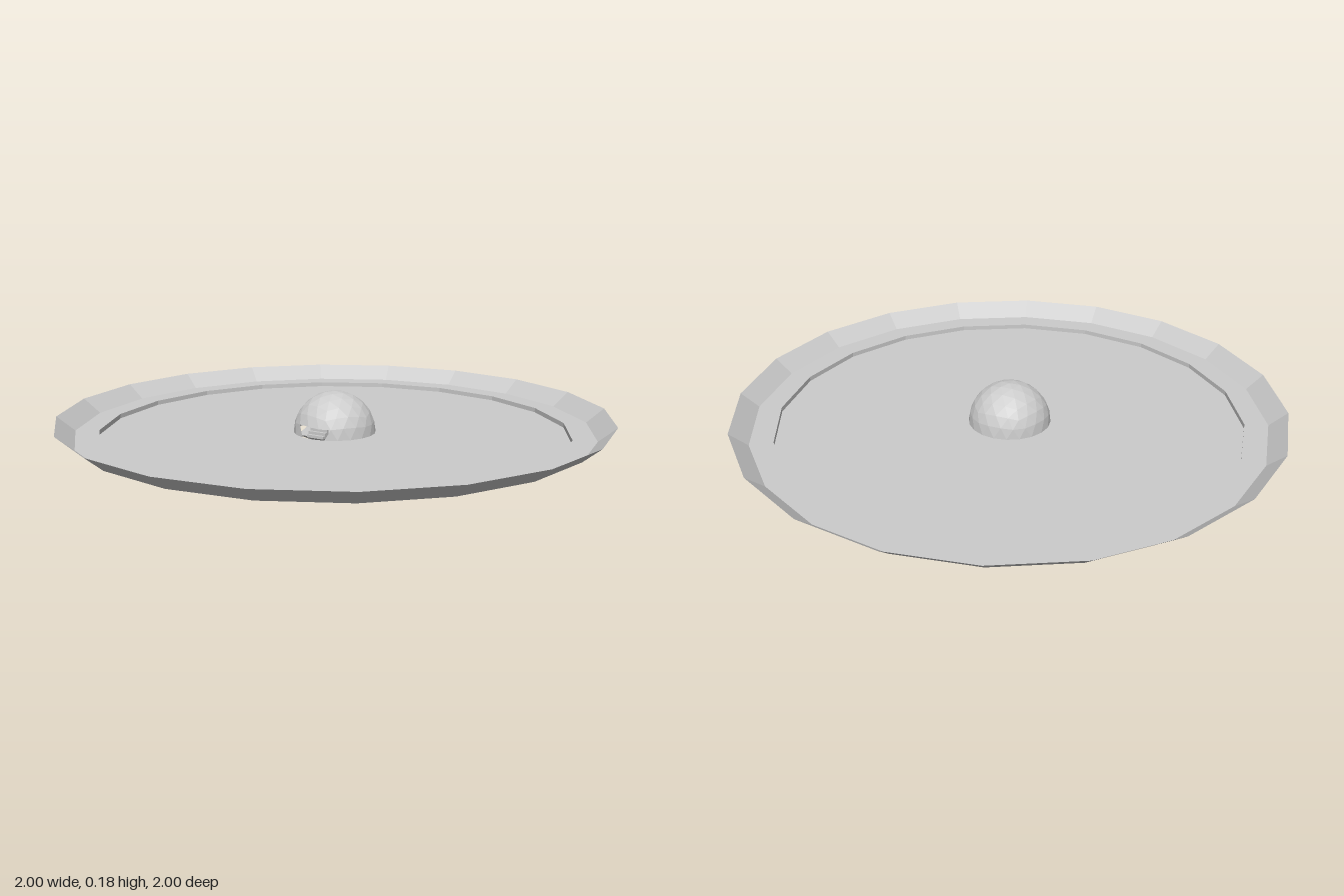
import * as THREE from 'three';

const material = new THREE.MeshStandardMaterial({
  color: 0xcccccc, flatShading: true, side: THREE.DoubleSide,
});
const FLOOR = 0.03;
const DOME_RADIUS = 0.15;

function addPart(parent, name, geometry, x = 0, y = 0, z = 0) {
  const mesh = new THREE.Mesh(geometry, material);
  mesh.name = name;
  mesh.position.set(x, y, z);
  parent.add(mesh);
  return mesh;
}

// Upper half of an icosphere, squared off at the floor, with a doorway at the front
function domeGeometry() {
  const sphere = new THREE.IcosahedronGeometry(DOME_RADIUS, 3);
  sphere.rotateZ(-Math.atan(2 / (1 + Math.sqrt(5))));
  const source = sphere.getAttribute('position');
  const points = [];
  for (let i = 0; i < source.count; i += 3) {
    const tri = [0, 1, 2].map((k) => new THREE.Vector3().fromBufferAttribute(source, i + k));
    if (tri.every((p) => p.y < 0.001)) continue;
    for (const p of tri) {
      if (p.y < 0) p.setY(0).setLength(DOME_RADIUS);
    }
    const c = tri[0].clone().add(tri[1]).add(tri[2]).divideScalar(3);
    const inDoorway = Math.abs(c.x) < 0.05 && c.z > 0.1 && c.y < 0.045;
    if (!inDoorway) tri.forEach((p) => points.push(p.x, p.y, p.z));
  }
  const geometry = new THREE.BufferGeometry();
  geometry.setAttribute('position', new THREE.Float32BufferAttribute(points, 3));
  geometry.computeVertexNormals();
  return geometry;
}

export function createModel() {
  const model = new THREE.Group();
  model.name = 'domedDisc';

  // Thin dish: open centre, recessed floor, flat ledge and flared rim
  const profile = [
    [DOME_RADIUS, FLOOR], [0.85, FLOOR], [0.85, 0.047], [0.935, 0.047], [1, 0.1],
  ].map(([r, y]) => new THREE.Vector2(r, y));
  addPart(model, 'dish', new THREE.LatheGeometry(profile, 20));

  addPart(model, 'dome', domeGeometry(), 0, FLOOR, 0);

  // Five-sided hull hanging below the central opening
  const hull = addPart(model, 'lowerHull',
    new THREE.CylinderGeometry(0.145, 0.075, FLOOR, 5), 0, FLOOR / 2, 0);
  hull.rotation.y = Math.PI;

  // Small steps just inside the doorway
  const steps = new THREE.Group();
  steps.name = 'doorSteps';
  for (let i = 0; i < 3; i++) {
    const height = 0.01 * (i + 1);
    addPart(steps, 'step', new THREE.BoxGeometry(0.07, height, 0.012),
      0, FLOOR + height / 2, 0.126 - i * 0.012);
  }
  model.add(steps);

  return model;
}
